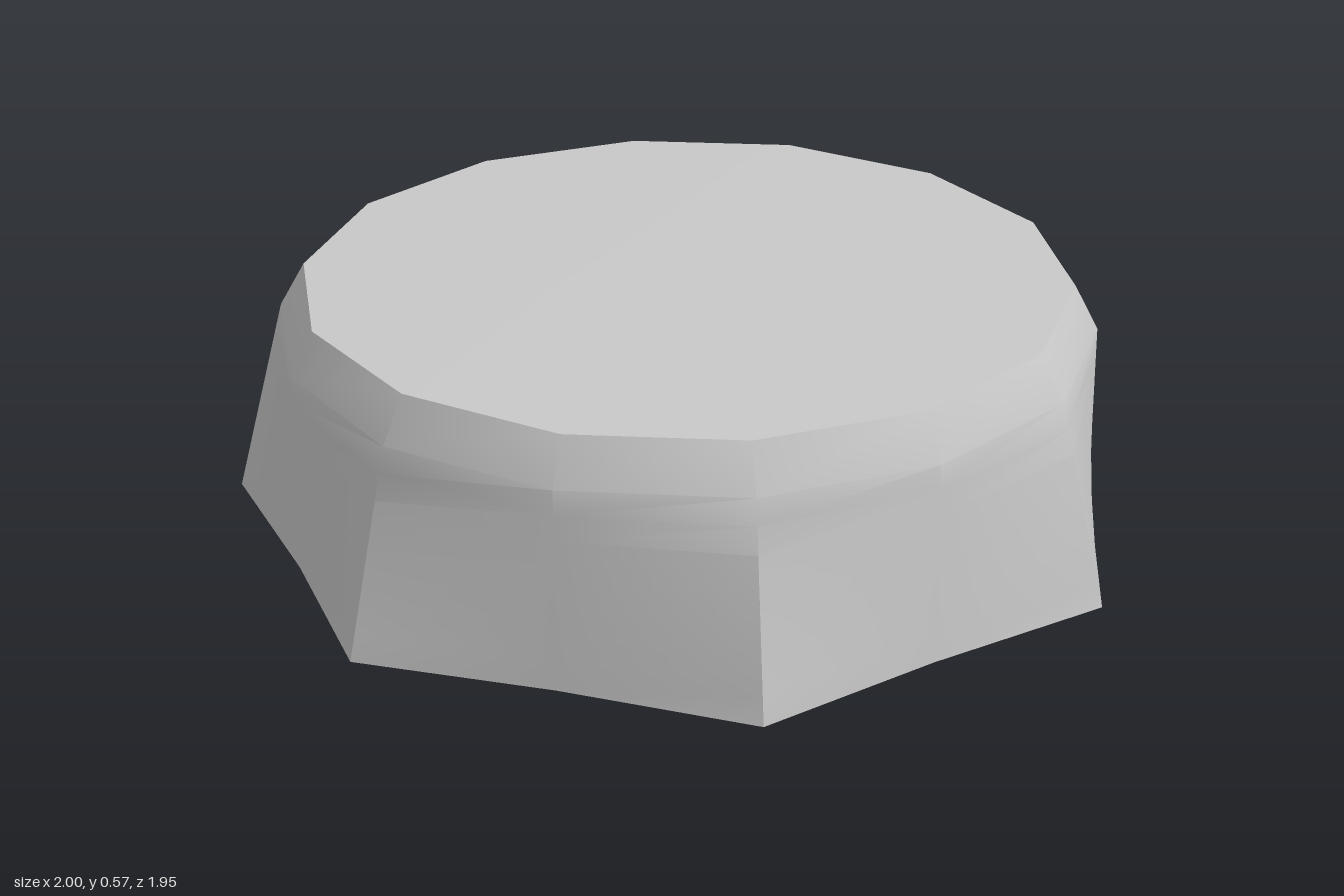
import * as THREE from 'three';
import { toCreasedNormals } from 'three/addons/utils/BufferGeometryUtils.js';

const SIDES = 14; // seven grip points alternating with seven hollows
const CENTRE_Z = -0.055;
const WALL_STEPS = 8;

// Each ring is [radius at points, radius at hollows, height]
const CEILING_CENTRE = [0, 0, 0.367];
const CEILING = [0.81, 0.81, 0.367];
const OPENING = [0.81, 0.81, 0.027];
const FOOT = [1.026, 0.91, 0];
const SHOULDER = [0.912, 0.908, 0.455];
const TOP_EDGE = [0.856, 0.856, 0.555];
const TOP_CENTRE = [0, 0, 0.57];

// Joins successive rings into a band, closing to a fan where the radius is 0
function bandGeometry(rings) {
  const positions = [];
  const point = ([tip, hollow, y], i) => {
    const a = (i / SIDES) * Math.PI * 2;
    const r = i % 2 === 0 ? tip : hollow;
    return [Math.sin(a) * r, y, Math.cos(a) * r + CENTRE_Z];
  };
  for (let k = 0; k < rings.length - 1; k++) {
    const [lower, upper] = [rings[k], rings[k + 1]];
    for (let i = 0; i < SIDES; i++) {
      const a = point(lower, i), b = point(lower, i + 1);
      const c = point(upper, i + 1), d = point(upper, i);
      if (lower[0] > 0) positions.push(...a, ...b, ...c);
      if (upper[0] > 0) positions.push(...a, ...c, ...d);
    }
  }
  const geometry = new THREE.BufferGeometry();
  geometry.setAttribute('position', new THREE.Float32BufferAttribute(positions, 3));
  return toCreasedNormals(geometry, THREE.MathUtils.degToRad(33));
}

export function createModel() {
  const group = new THREE.Group();
  group.name = 'knob';
  const grey = new THREE.MeshStandardMaterial({ color: 0xc8c8c8 });
  grey.name = 'grey';

  const addPart = (name, rings) => {
    const mesh = new THREE.Mesh(bandGeometry(rings), grey);
    mesh.name = name;
    group.add(mesh);
  };

  // The wall blends evenly from the pointed foot to the round shoulder
  const wall = Array.from({ length: WALL_STEPS + 1 }, (_, k) =>
    FOOT.map((v, j) => THREE.MathUtils.lerp(v, SHOULDER[j], k / WALL_STEPS)));

  addPart('gripSkirt', [...wall, TOP_EDGE]);
  addPart('topFace', [TOP_EDGE, TOP_CENTRE]);
  addPart('bottomRim', [OPENING, FOOT]);
  addPart('recess', [CEILING_CENTRE, CEILING, OPENING]);

  return group;
}
